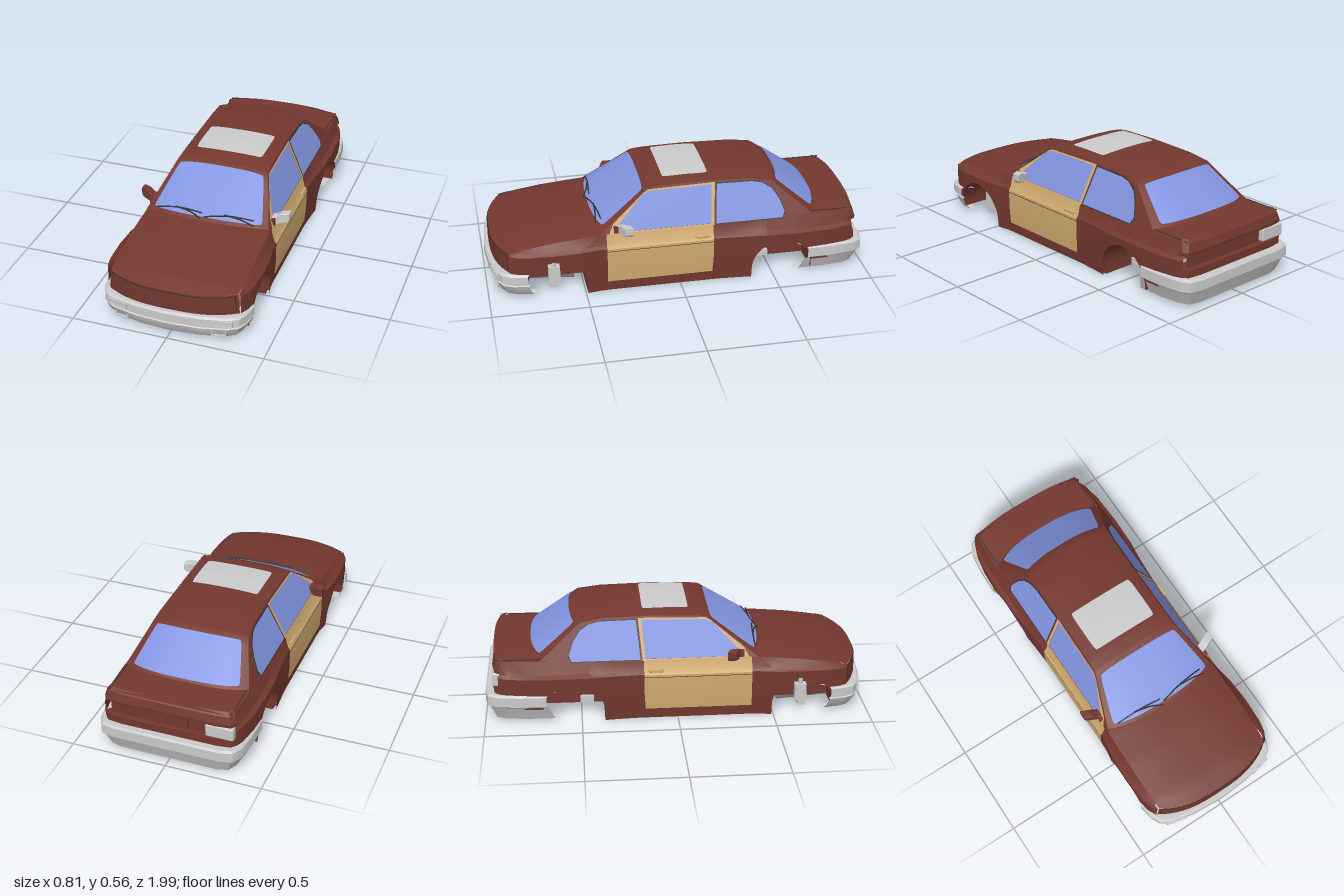
import * as THREE from 'three';
import { toCreasedNormals } from 'three/addons/utils/BufferGeometryUtils.js';
import { RoundedBoxGeometry } from 'three/addons/geometries/RoundedBoxGeometry.js';

const mat = (color) => new THREE.MeshStandardMaterial({ color, side: THREE.DoubleSide });
const V = (x, y, z) => new THREE.Vector3(x, y, z);
const lerp = THREE.MathUtils.lerp;

// Surface through rows of points
function loft(rows, crease = 0.55) {
  const out = [], t = new THREE.Triangle();
  const tri = (a, b, c) => {
    if (t.set(a, b, c).getArea() > 1e-8) for (const p of [a, b, c]) out.push(p.x, p.y, p.z);
  };
  for (let i = 0; i + 1 < rows.length; i++)
    for (let j = 0; j + 1 < rows[i].length; j++) {
      const a = rows[i][j], b = rows[i][j + 1], c = rows[i + 1][j + 1], d = rows[i + 1][j];
      tri(a, b, c); tri(a, c, d);
    }
  const g = new THREE.BufferGeometry();
  g.setAttribute('position', new THREE.Float32BufferAttribute(out, 3));
  return toCreasedNormals(g, crease);
}

// Piecewise linear lookup; the first column descends
function look(table, z, k) {
  let i = 0;
  while (i < table.length - 2 && z < table[i + 1][0]) i++;
  const a = table[i], b = table[i + 1];
  return lerp(a[k], b[k], THREE.MathUtils.clamp((a[0] - z) / (a[0] - b[0]), 0, 1));
}

// Body plan: z, flare half width, shoulder half width, shoulder height
const plan = [
  [0.885, 0.345, 0.33, 0.262], [0.84, 0.368, 0.334, 0.272], [0.78, 0.379, 0.336, 0.282],
  [0.65, 0.386, 0.338, 0.3], [0.52, 0.38, 0.337, 0.312], [0.42, 0.363, 0.336, 0.32],
  [0.36, 0.361, 0.335, 0.322], [-0.2, 0.361, 0.335, 0.322], [-0.34, 0.37, 0.335, 0.324],
  [-0.45, 0.383, 0.335, 0.326], [-0.62, 0.387, 0.334, 0.329], [-0.78, 0.38, 0.33, 0.332],
  [-0.88, 0.363, 0.325, 0.332], [-0.925, 0.345, 0.322, 0.332]];
const ARCH = [0.65, -0.54], R = 0.16, AY = 0.055;

function sideX(z, y) {
  const w = look(plan, z, 1), sx = look(plan, z, 2), sy = look(plan, z, 3);
  const ledge = Math.min(w - 0.002, lerp(w, sx, 0.45));
  if (y < 0.15) return w - 0.012 * (1 - y / 0.15);
  if (y < 0.25) return w;
  if (y < 0.265) return lerp(w, ledge, (y - 0.25) / 0.015);
  return lerp(ledge, sx, Math.min(1, (y - 0.265) / Math.max(0.01, sy - 0.265)));
}
function bottomY(z) {
  for (const c of ARCH) if (Math.abs(z - c) <= R) return AY + Math.sqrt(R * R - (z - c) ** 2);
  return z > 0.65 || z < -0.54 ? 0.08 : 0;
}

// Crowned patch across the car; rows are edge z, y, x then centre z, y
function patchPoint(rows, s, u, p, lift = 0) {
  const i = Math.min(rows.length - 2, Math.floor(s)), f = s - i;
  const [ze, ye, xe, zc, yc] = rows[i].map((v, k) => lerp(v, rows[i + 1][k], f));
  const b = Math.abs(u) ** p;
  return V(xe * u, lerp(yc, ye, b) + lift, lerp(zc, ze, b));
}
function patch(rows, s0, s1, uMax, p, n, lift = [0, 0], round = 0) {
  const out = [];
  for (let i = 0; i <= n; i++) {
    const t = (1 - Math.cos((Math.PI * i) / n)) / 2;
    const k = round ? lerp(0.88, 1, (1 - Math.abs(2 * t - 1) ** round) ** (1 / round)) : 1;
    const row = [];
    for (let j = 0; j <= 32; j++) {
      const q = patchPoint(rows, lerp(s0, s1, round ? t : i / n), (j / 16 - 1) * uMax * k, p);
      row.push(q.add(V(0, lift[0], lift[1])));
    }
    out.push(row);
  }
  return loft(out);
}

// Leaning plane of the side windows
const gx = (y) => 0.335 - 0.46 * (y - 0.322);
const cabin = [[0.4, 0.335, 0.455, 0.35], [0.16, 0.515, 0.15, 0.532], [0.1, 0.524, 0.09, 0.543],
  [-0.12, 0.53, -0.12, 0.554], [-0.38, 0.523, -0.38, 0.544], [-0.5, 0.505, -0.53, 0.525],
  [-0.7, 0.338, -0.77, 0.35]].map(([ze, ye, zc, yc]) => [ze, ye, gx(ye), zc, yc]);
const hood = [[0.885, 0.262, 0.33, 0.965, 0.256], [0.84, 0.272, 0.334, 0.88, 0.287],
  [0.62, 0.303, 0.338, 0.62, 0.33], [0.42, 0.32, 0.336, 0.44, 0.352], [0.33, 0.322, 0.335, 0.33, 0.352]];
const trunk = [[-0.5, 0.327, 0.335, -0.5, 0.35], [-0.78, 0.332, 0.33, -0.8, 0.353], [-0.925, 0.332, 0.322, -0.952, 0.347]];

function sidePlane(pts, s, off, hole) {
  const shape = new THREE.Shape(pts.map((p) => new THREE.Vector2(...p)));
  if (hole) shape.holes.push(new THREE.Path(hole.map((p) => new THREE.Vector2(...p))));
  const g = new THREE.ShapeGeometry(shape), a = g.attributes.position;
  for (let i = 0; i < a.count; i++) a.setXYZ(i, s * (gx(a.getY(i)) + off), a.getY(i), a.getX(i));
  g.computeVertexNormals();
  return g;
}

// Mirrored plan outline swept through [height, inset] levels
function band(half, levels) {
  const full = [...half.map(([x, z]) => [-x, z]).reverse(), ...half.slice(1)];
  return loft(levels.map(([y, o]) => full.map(([x, z]) => V(x * (1 - o / 0.38), y, z - Math.sign(z) * o))), 0.4);
}

export function createModel() {
  const car = new THREE.Group();
  const red = mat(0x74382f), tan = mat(0xd2ab70), blue = mat(0x8294e0), grey = mat(0xcccccc);
  const dark = mat(0x333531), under = mat(0x6b6b6b);
  const add = (name, geo, m, x = 0, y = 0, z = 0, ry = 0) => {
    const mesh = new THREE.Mesh(geo, m);
    mesh.name = name;
    mesh.position.set(x, y, z);
    mesh.rotation.y = ry;
    car.add(mesh);
    return mesh;
  };
  const box = (name, m, w, h, d, x, y, z, ry) => add(name, new THREE.BoxGeometry(w, h, d), m, x, y, z, ry);

  // Upper body sheets and glass
  add('hood', patch(hood, 0, 4, 1, 2.8, 24), red);
  add('cabinTop', patch(cabin, 0, 6, 1, 2.8, 36), red);
  add('trunkLid', patch(trunk, 0, 2, 1, 2.8, 12), red);
  add('windshield', patch(cabin, 0.06, 0.93, 0.91, 2.8, 16, [0.003, 0.003], 8), blue);
  add('rearWindow', patch(cabin, 5.08, 5.94, 0.88, 2.8, 16, [0.003, -0.003], 8), blue);
  const sun = [0.065, -0.055, -0.175].map((z, i) => [z, [0.546, 0.55, 0.548][i], 0.182, z, [0.551, 0.557, 0.555][i]]);
  add('sunroof', patch(sun, 0, 2, 1, 2.4, 16, [0, 0], 6), grey);

  // Wipers lying on the windshield
  for (const [a, b] of [[-0.84, -0.06], [-0.02, 0.78]]) {
    const arc = [0, 0.5, 1].map((t) => patchPoint(cabin, 0.05 + 0.08 * Math.sin(t * 2.4), lerp(a, b, t), 2.8, 0.008));
    add('wiperBlade', new THREE.TubeGeometry(new THREE.CatmullRomCurve3(arc), 12, 0.004, 5), dark);
    const arm = [0.4, 0.75, 1].map((t, i) => patchPoint(cabin, [0.12, 0.08, 0.0][i], lerp(a, b, t), 2.8, 0.012));
    add('wiperArm', new THREE.TubeGeometry(new THREE.CatmullRomCurve3(arm), 8, 0.004, 5), dark);
  }

  // Nose, with the blanked grille panel
  const nose = (w, y0, y1, off) => loft([y0, (y0 + y1) / 2, y1].map((y) => Array.from({ length: 33 }, (_, j) => {
    const u = (j / 16 - 1) * w;
    return V((0.345 - 0.09 * Math.max(0, y - 0.1)) * u, y, 0.965 + off - 0.08 * Math.abs(u) ** 2.8);
  })));
  add('nose', nose(1, 0.08, 0.258, 0), red);
  add('grilleSurround', nose(0.97, 0.163, 0.252, 0.002), dark);
  add('grillePanel', nose(0.96, 0.166, 0.249, 0.004), red);

  // Tail with recessed light panel
  const tail = [[0, -0.955], [0.25, -0.955], [0.325, -0.945], [0.345, -0.92]];
  add('tailUpper', band(tail, [[0.275, 0.05], [0.275, 0.002], [0.29, 0], [0.33, 0.012], [0.347, 0.03]]), red);
  add('tailLower', band(tail, [[0.08, 0], [0.2, 0], [0.2, 0.05]]), red);
  box('tailPanel', red, 0.62, 0.09, 0.01, 0, 0.238, -0.92);
  box('plateRecess', red, 0.2, 0.06, 0.02, 0, 0.238, -0.93);
  add('tailLight', new RoundedBoxGeometry(0.145, 0.07, 0.04, 2, 0.008), grey, -0.266, 0.238, -0.933);

  // Bumpers
  const front = [[0, 0.995], [0.17, 0.983], [0.3, 0.955], [0.35, 0.925], [0.372, 0.88], [0.386, 0.8]];
  add('frontBumper', band(front, [[0.15, 0.05], [0.152, 0.008], [0.142, 0], [0.1, 0], [0.094, 0.01],
    [0.088, 0.01], [0.084, 0.004], [0.045, 0.018], [0.025, 0.03], [0.03, 0.06]]), grey);
  const rear = [[0, -0.995], [0.28, -0.995], [0.345, -0.98], [0.372, -0.93], [0.387, -0.82], [0.39, -0.68]];
  add('rearBumper', band(rear, [[0.16, 0.05], [0.162, 0.008], [0.152, 0], [0.1, 0], [0.09, 0.012],
    [0.03, 0.035], [0.015, 0.04], [0.02, 0.07]]), grey);
  box('rearUndertray', under, 0.6, 0.01, 0.22, 0, 0.035, -0.83);
  for (const x of [-0.18, 0.18]) box('rearTrayTab', grey, 0.05, 0.03, 0.03, x, 0.025, -0.92);
  box('frontUndertray', under, 0.4, 0.006, 0.36, 0, 0.026, 0.72).rotation.x = -0.08;

  // Floor and closing plates
  box('floor', red, 0.69, 0.18, 0.87, 0, 0.091, 0.055);
  box('engineBayPlate', red, 0.42, 0.01, 0.44, 0, 0.1, 0.71);
  box('rearAxlePlate', red, 0.42, 0.01, 0.34, 0, 0.13, -0.54);
  box('trunkFloor', red, 0.66, 0.01, 0.23, 0, 0.09, -0.81);

  const rim = (w, h) => {
    const rect = (P, a, b) => new P([[-a, -b], [a, -b], [a, b], [-a, b]].map((p) => new THREE.Vector2(...p)));
    const s = rect(THREE.Shape, w / 2, h / 2);
    s.holes.push(rect(THREE.Path, w / 2 - 0.006, h / 2 - 0.005));
    return new THREE.ExtrudeGeometry(s, { depth: 0.01, bevelEnabled: false });
  };

  const zs = plan.map((r) => r[0]);
  for (const c of ARCH) {
    zs.push(c - R - 0.0005, c + R + 0.0005);
    for (let i = 0; i <= 24; i++) zs.push(c + R * Math.cos((Math.PI * i) / 24));
  }
  zs.sort((a, b) => b - a);
  const doorZ = Array.from({ length: 13 }, (_, i) => lerp(0.385, -0.175, i / 12));

  for (const s of [1, -1]) {
    // Lower side with wheel arch cutouts
    add('bodySide', loft(zs.map((z) => {
      const sy = look(plan, z, 3);
      return [0, 0.08, 0.15, 0.2, 0.25, 0.265, sy].map((l) => {
        const y = Math.min(sy, Math.max(l, bottomY(z)));
        return V(s * sideX(z, y), y, z);
      });
    })), red);
    for (const c of ARCH) {
      const arc = [[c + R, 0.03]];
      for (let i = 0; i <= 24; i++) {
        const a = (Math.PI * i) / 24;
        arc.push([c + R * Math.cos(a), AY + R * Math.sin(a)]);
      }
      arc.push([c - R, 0.03]);
      add('wheelWell', loft([arc.map(([z, y]) => V(s * sideX(z, y), y, z)), arc.map(([z, y]) => V(s * 0.2, y, z)),
        arc.map(([z]) => V(s * 0.2, 0.03, z))]), red);
    }

    // Cabin side, windows and door
    add('cabinSide', sidePlane([[0.42, 0.318], ...cabin.map((r) => [r[0], r[1]]), [-0.72, 0.318]], s, 0), red);
    const doorGlass = [[0.34, 0.328], [0.31, 0.37], [0.185, 0.492], [0.15, 0.507], [-0.182, 0.513], [-0.166, 0.328]];
    add('doorWindow', sidePlane(doorGlass, s, 0.002), blue);
    add('doorFrame', sidePlane([[0.372, 0.32], [0.345, 0.37], [0.175, 0.502], [0.15, 0.515], [-0.2, 0.522], [-0.182, 0.32]],
      s, 0.004, doorGlass), tan);
    const quarter = [[-0.192, 0.326], [-0.21, 0.513], [-0.4, 0.51], [-0.45, 0.5], [-0.5, 0.47], [-0.535, 0.42], [-0.56, 0.355], [-0.545, 0.326]];
    add('quarterWindowSeal', sidePlane(quarter.map(([z, y]) => [-0.37 + (z + 0.37) * 1.03, 0.42 + (y - 0.42) * 1.06]), s, 0.002), dark);
    add('quarterWindow', sidePlane(quarter, s, 0.004), blue);
    const door = (y0, y1, off) => loft(doorZ.map((z) => [0, 0.3, 0.5, 0.72, 0.79, 1].map((t) => {
      const y = lerp(y0, y1, t);
      return V(s * (sideX(z, y) + off), y, z + (z < -0.1 ? 0.06 * Math.max(0, 0.15 - y) : 0));
    })));
    add('doorPanel', door(0.055, 0.323, 0.004), tan);
    add('doorCrease', door(0.234, 0.237, 0.0055), dark);
    add('doorHandle', new RoundedBoxGeometry(0.014, 0.018, 0.075, 2, 0.005), tan, s * 0.362, 0.272, -0.115);
    box('rearDeckSeam', dark, 0.004, 0.003, 0.24, s * 0.318, 0.338, -0.81);

    // Mirror
    const mirror = new THREE.Shape([[0.315, 0.335], [0.35, 0.322], [0.395, 0.332], [0.402, 0.345], [0.402, 0.375],
      [0.365, 0.376], [0.342, 0.362], [0.315, 0.358]].map(([x, y]) => new THREE.Vector2(s * x, y)));
    const shell = new THREE.ExtrudeGeometry(mirror, { depth: 0.035, bevelSize: 0.003, bevelThickness: 0.006, bevelSegments: 2 });
    const a = shell.attributes.position;
    for (let i = 0; i < a.count; i++) a.setZ(i, a.getZ(i) + 0.285 - 0.4 * (Math.abs(a.getX(i)) - 0.33));
    shell.computeVertexNormals();
    add('mirror', shell, s > 0 ? grey : red);
    box('mirrorFoot', red, 0.03, 0.035, 0.06, s * 0.325, 0.342, 0.315);

    // Bumper lamp frames
    add('upperLampFrame', rim(0.11, 0.034), grey, s * 0.268, 0.121, 0.957, s * 0.22);
    add('lowerLampFrame', rim(0.074, 0.034), grey, s * 0.252, 0.058, 0.945, s * 0.2);

    // Suspension stubs
    add('strut', new THREE.CylinderGeometry(0.012, 0.012, 0.12, 10), grey, s * 0.28, 0.16, 0.655);
    box('strutKnuckle', grey, 0.04, 0.09, 0.06, s * 0.28, 0.09, 0.655);
    box('strutFoot', grey, 0.05, 0.03, 0.04, s * 0.27, 0.03, 0.66);
    box('controlArm', grey, 0.09, 0.015, 0.03, s * 0.23, 0.05, 0.65);
    box('rearHubStub', grey, 0.04, 0.035, 0.07, s * 0.2, 0.055, -0.47);
  }
  return car;
}
